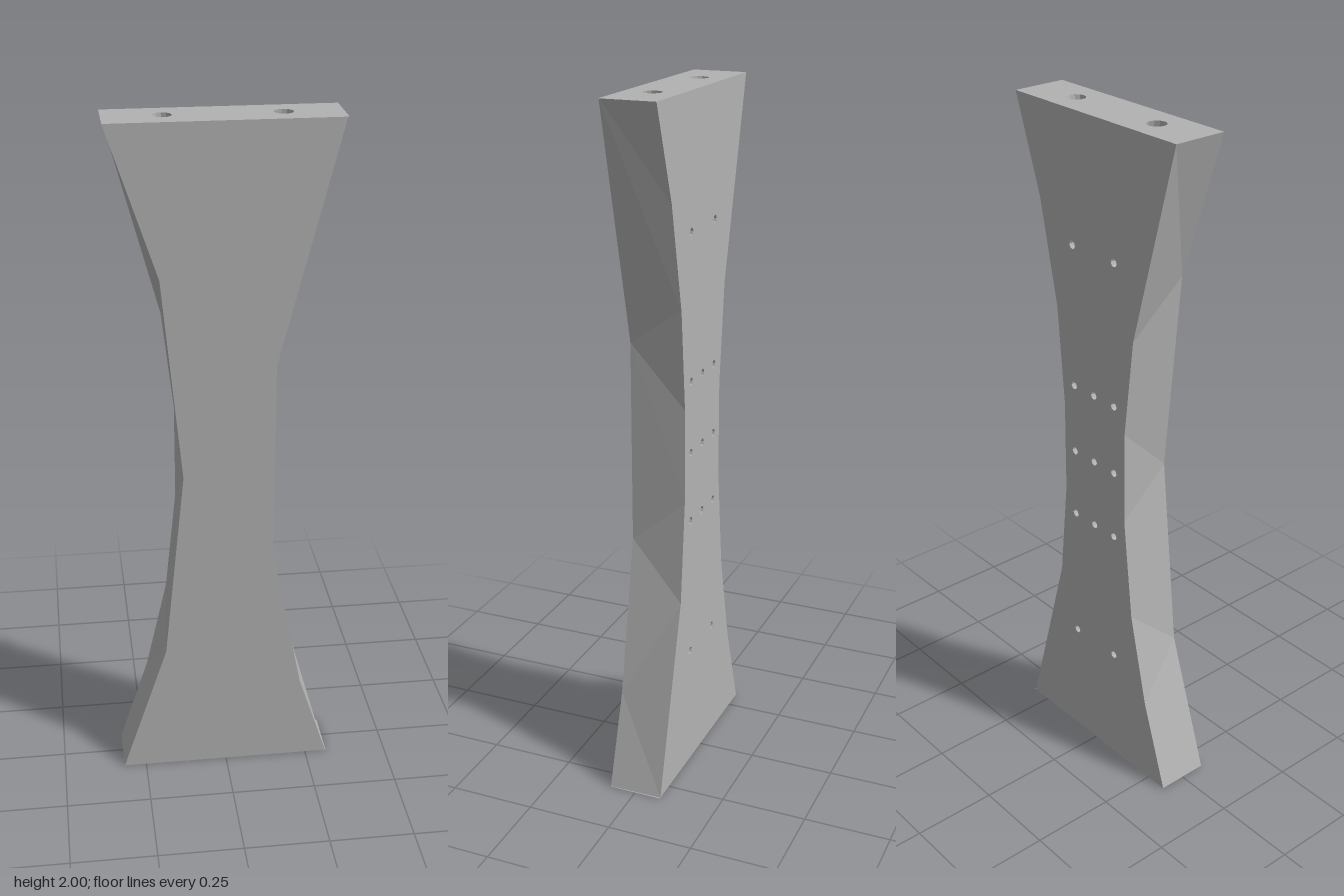
import * as THREE from 'three';
import { mergeGeometries } from 'three/addons/utils/BufferGeometryUtils.js';

const HALF_DEPTH = 0.079;
const HALF_WIDTH = 0.317;
const HEIGHT = 2;

// Edge profiles from top to bottom, as [distance from centre, height]
const edges = {
  frontLeft: [[0.313, 2], [0.14, 1.32], [0.138, 0.73], [0.228, 0.27], [0.315, 0]],
  frontRight: [[0.317, 2], [0.179, 1.58], [0.122, 0.99], [0.181, 0.41], [0.317, 0]],
  backLeft: [[0.317, 2], [0.222, 1.73], [0.156, 1.43], [0.13, 1.14], [0.13, 0.86], [0.159, 0.56], [0.313, 0]],
  backRight: [[0.317, 2], [0.165, 1.43], [0.132, 1.14], [0.132, 0.86], [0.165, 0.55], [0.229, 0.27], [0.317, 0]],
};

// Face outline; sign is the x direction of the first edge
function outline(a, b, sign) {
  const pts = a.map(([x, y]) => new THREE.Vector2(sign * x, y));
  [...b].reverse().forEach(([x, y]) => pts.push(new THREE.Vector2(-sign * x, y)));
  return new THREE.Shape(pts);
}

function punch(shape, x, y, r) {
  shape.holes.push(new THREE.Path().absarc(x, y, r, 0, Math.PI * 2, true));
}

// Triangle strip joining the front edge to the back edge on one side
function wall(front, back, sign) {
  const F = front.map(([x, y]) => [sign * x, y, HALF_DEPTH]);
  const B = back.map(([x, y]) => [sign * x, y, -HALF_DEPTH]);
  const pos = [];
  let i = 0, j = 0;
  while (i < F.length - 1 || j < B.length - 1) {
    const stepFront = j === B.length - 1 || (i < F.length - 1 && F[i + 1][1] > B[j + 1][1]);
    const tri = stepFront ? [F[i], F[i + 1], B[j]] : [F[i], B[j + 1], B[j]];
    if (sign < 0) tri.reverse();
    pos.push(...tri.flat());
    if (stepFront) i++; else j++;
  }
  const g = new THREE.BufferGeometry();
  g.setAttribute('position', new THREE.Float32BufferAttribute(pos, 3));
  g.computeVertexNormals();
  return g;
}

// Blind hole going down from its mouth at the origin, leaning by a slope in x
function bore(r, depth, sides, slope = 0) {
  const tube = new THREE.CylinderGeometry(r, r, depth, sides, 1, true).translate(0, -depth / 2, 0);
  const floor = new THREE.CircleGeometry(r, sides).rotateX(-Math.PI / 2).translate(0, -depth, 0);
  const g = mergeGeometries([tube, floor]);
  const p = g.attributes.position;
  for (let i = 0; i < p.count; i++) p.setX(i, p.getX(i) + p.getY(i) * slope);
  return g;
}

export function createModel() {
  const group = new THREE.Group();
  const grey = new THREE.MeshStandardMaterial({ color: 0xb2b2b2 });
  grey.name = 'plainGrey';
  grey.flatShading = true;
  grey.side = THREE.DoubleSide;
  const add = (name, geometry) => {
    const mesh = new THREE.Mesh(geometry, grey);
    mesh.name = name;
    group.add(mesh);
  };

  // Front face
  const front = outline(edges.frontLeft, edges.frontRight, 1);
  add('frontFace', new THREE.ShapeGeometry(front).translate(0, 0, HALF_DEPTH));

  // Back face with its pattern of small holes
  const back = outline(edges.backLeft, edges.backRight, -1);
  const small = 0.012;
  for (const y of [1.63, 1.21, 1, 0.79, 0.37]) {
    for (const x of [-0.086, 0, 0.086]) {
      if (x === 0 && Math.abs(y - 1) > 0.5) continue;
      punch(back, -x, y, small);
      add('smallHole', bore(small, 0.07, 8).rotateX(-Math.PI / 2).translate(x, y, -HALF_DEPTH));
    }
  }
  add('backFace', new THREE.ShapeGeometry(back, 4).rotateY(Math.PI).translate(0, 0, -HALF_DEPTH));

  // Curved side walls
  add('leftWall', wall(edges.frontLeft, edges.backLeft, 1));
  add('rightWall', wall(edges.frontRight, edges.backRight, -1));

  // End faces with leaning holes
  for (const top of [true, false]) {
    const y = top ? HEIGHT : 0;
    const end = new THREE.Shape([
      new THREE.Vector2(-HALF_WIDTH, -HALF_DEPTH), new THREE.Vector2(HALF_WIDTH, -HALF_DEPTH),
      new THREE.Vector2(HALF_WIDTH, HALF_DEPTH), new THREE.Vector2(-HALF_WIDTH, HALF_DEPTH),
    ]);
    for (const s of [-1, 1]) {
      punch(end, s * 0.159, 0, 0.027);
      const hole = bore(0.027, 0.36, 12, s * 0.2);
      if (!top) hole.rotateX(Math.PI);
      add('endHole', hole.translate(s * 0.159, y, 0));
    }
    const face = new THREE.ShapeGeometry(end, 6).rotateX(top ? -Math.PI / 2 : Math.PI / 2);
    add(top ? 'topFace' : 'bottomFace', face.translate(0, y, 0));
  }
  return group;
}
